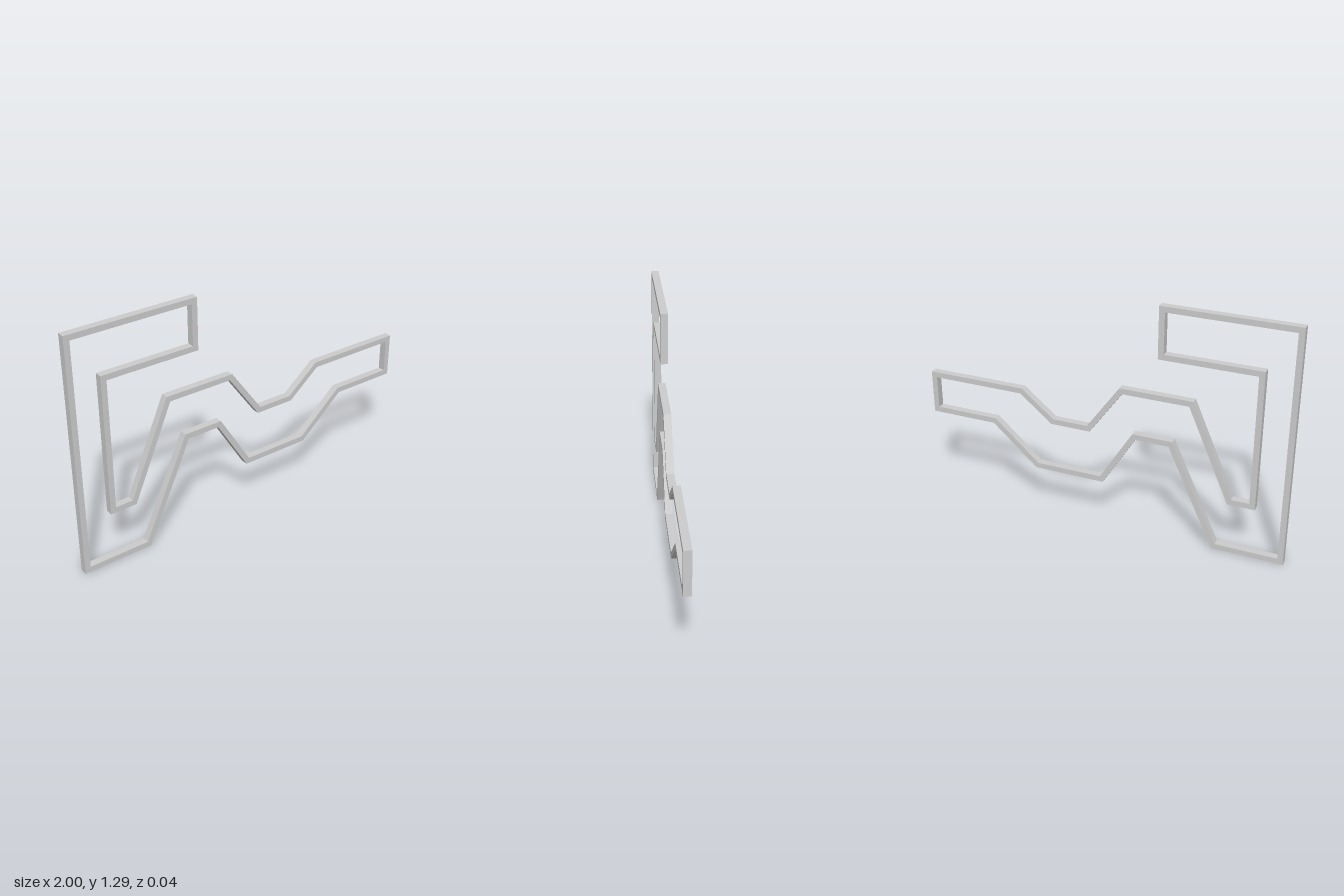
import * as THREE from 'three';

const BAR = 0.03;   // bar width in the plane of the frame
const DEPTH = 0.04; // bar depth along z

// Outer contour, counter-clockwise
const OUTLINE = [
  [-1, 0], [-0.62, 0], [-0.37, 0.545], [-0.19, 0.545], [-0.01, 0.255], [0.38, 0.255],
  [0.63, 0.475], [1, 0.475], [1, 0.714], [0.45, 0.714], [0.275, 0.57], [0.08, 0.57],
  [-0.1, 0.82], [-0.49, 0.82], [-0.71, 0.315], [-0.805, 0.315], [-0.805, 1.013],
  [-0.3, 1.013], [-0.3, 1.29], [-1, 1.29],
].map(([x, y]) => new THREE.Vector2(x, y));

// Mitred inward offset of a closed counter-clockwise contour
function inset(points, d) {
  const n = points.length;
  const inward = (a, b) => new THREE.Vector2(a.y - b.y, b.x - a.x).normalize();
  return points.map((p, i) => {
    const n1 = inward(points[(i + n - 1) % n], p);
    const n2 = inward(p, points[(i + 1) % n]);
    return n1.clone().add(n2).multiplyScalar(d / (1 + n1.dot(n2))).add(p);
  });
}

export function createModel() {
  const group = new THREE.Group();
  group.name = 'outlineFrame';

  // One continuous bar of rectangular section following the contour
  const shape = new THREE.Shape(OUTLINE);
  shape.holes.push(new THREE.Path(inset(OUTLINE, BAR).reverse()));
  const geometry = new THREE.ExtrudeGeometry(shape, { depth: DEPTH, bevelEnabled: false });
  geometry.translate(0, 0, -DEPTH / 2);

  const material = new THREE.MeshStandardMaterial({ color: 0xcccccc, flatShading: true });
  const frame = new THREE.Mesh(geometry, material);
  frame.name = 'bentBarFrame';
  group.add(frame);
  return group;
}
